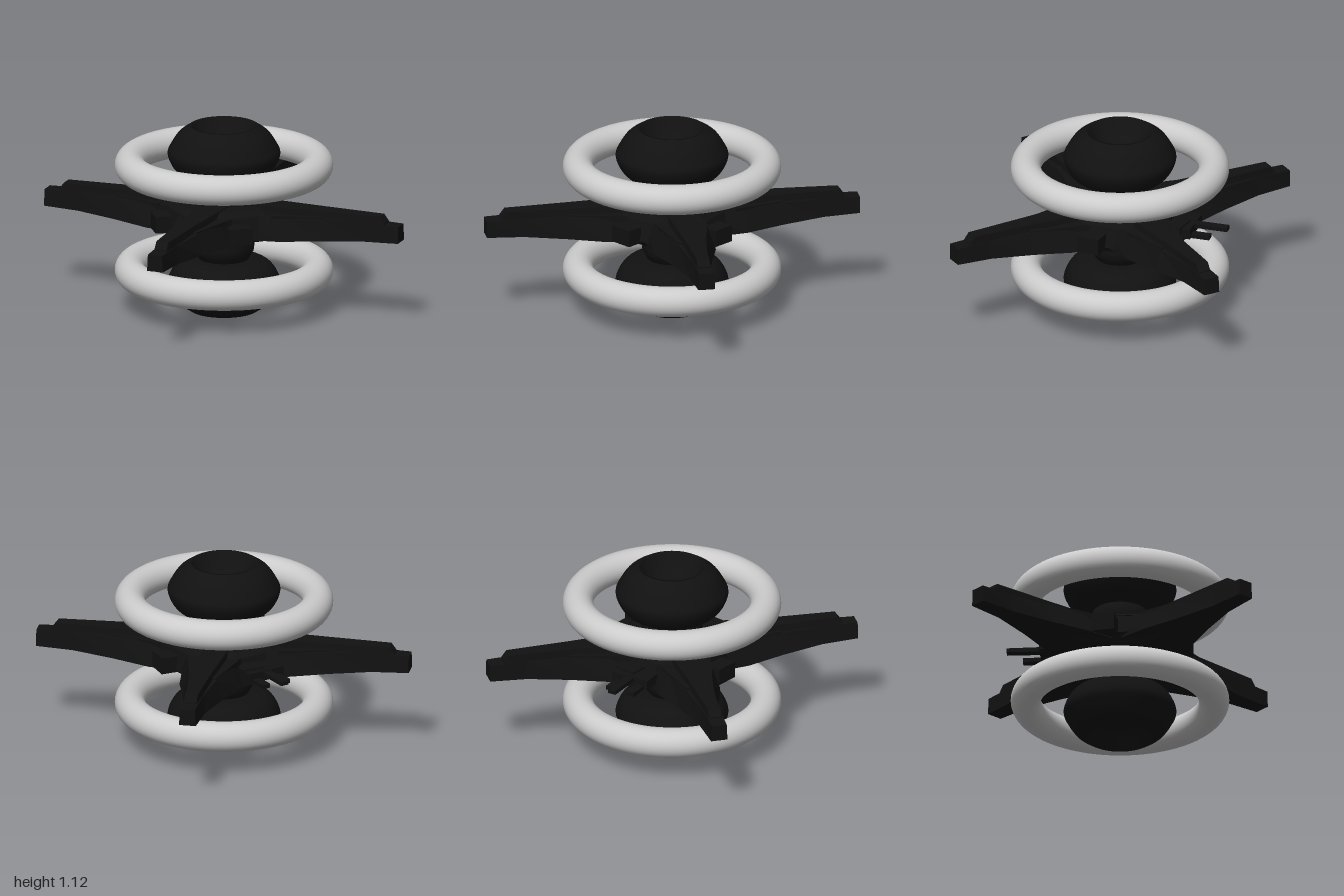
import * as THREE from 'three';

const grey = new THREE.MeshStandardMaterial({ color: 0xcccccc });
const dark = new THREE.MeshStandardMaterial({ color: 0x111111, side: THREE.DoubleSide });
const darkFlat = new THREE.MeshStandardMaterial({ color: 0x111111, flatShading: true });
const MID = 0.575;

function add(parent, name, geometry, material, x = 0, y = 0, z = 0) {
  const mesh = new THREE.Mesh(geometry, material);
  mesh.name = name;
  mesh.position.set(x, y, z);
  parent.add(mesh);
  return mesh;
}

const lathe = (pts) => new THREE.LatheGeometry(pts.map(([r, y]) => new THREE.Vector2(r, y)), 64);

// Trapezoid sections along +x: [x, half width below, half width above, bottom, top]
function loft(sections) {
  const pos = [];
  const rings = sections.map(([x, a, b, y0, y1]) => [[x, y0, a], [x, y0, -a], [x, y1, -b], [x, y1, b]]);
  const quad = (a, b, c, d) => pos.push(...a, ...b, ...c, ...a, ...c, ...d);
  for (let i = 0; i < rings.length - 1; i++) {
    for (let j = 0; j < 4; j++) {
      const k = (j + 1) % 4;
      quad(rings[i][j], rings[i][k], rings[i + 1][k], rings[i + 1][j]);
    }
  }
  const s = rings[0], e = rings[rings.length - 1];
  quad(s[3], s[2], s[1], s[0]);
  quad(e[0], e[1], e[2], e[3]);
  const g = new THREE.BufferGeometry();
  g.setAttribute('position', new THREE.Float32BufferAttribute(pos, 3));
  g.computeVertexNormals();
  return g;
}

// Upper half of the station: ring, domed pod with a dished top, and lamp
function createHalf(name) {
  const half = new THREE.Group();
  half.name = name;
  const ring = add(half, 'ring', new THREE.TorusGeometry(0.555, 0.09, 32, 96), grey, 0, 0.89 - MID, 0);
  ring.rotation.x = Math.PI / 2;
  const shell = new THREE.SplineCurve([[0.15, 0.815], [0.24, 0.83], [0.3, 0.88], [0.333, 0.96],
    [0.31, 1.02], [0.265, 1.085], [0.2, 1.13]].map(([r, y]) => new THREE.Vector2(r, y - MID)));
  add(half, 'pod', new THREE.LatheGeometry(shell.getPoints(24), 64), dark);
  add(half, 'podDish', lathe([[0.2, 1.13], [0.185, 1.13], [0.16, 1.07], [0.11, 1.02], [0.045, 1.0], [0, 1.0]]
    .map(([r, y]) => [r, y - MID])), dark);
  const lamp = add(half, 'lamp', new THREE.CircleGeometry(0.045, 32), grey, 0, 1.004 - MID, 0);
  lamp.rotation.x = -Math.PI / 2;
  return half;
}

// Tapered arm with a raised spine, a keel and side ribs
function createArm() {
  const arm = new THREE.Group();
  arm.name = 'arm';
  add(arm, 'armBody', loft([
    [0.1, 0.22, 0.2, 0.5, 0.65], [0.42, 0.185, 0.13, 0.505, 0.645], [0.65, 0.118, 0.085, 0.515, 0.64],
    [0.9, 0.062, 0.05, 0.525, 0.635], [1.12, 0.05, 0.045, 0.53, 0.63],
  ]), darkFlat);
  add(arm, 'armSpine', loft([
    [0.1, 0.1, 0.09, 0.62, 0.682], [0.6, 0.062, 0.055, 0.62, 0.682], [1.0, 0.042, 0.038, 0.62, 0.68],
    [1.03, 0.042, 0.038, 0.62, 0.64],
  ]), darkFlat);
  add(arm, 'armKeel', loft([
    [0.1, 0.11, 0.15, 0.485, 0.53], [0.43, 0.07, 0.11, 0.49, 0.53], [0.46, 0.06, 0.1, 0.515, 0.53],
  ]), darkFlat);
  for (const side of [-1, 1]) {
    const rib = add(arm, 'armRib', new THREE.BoxGeometry(0.3, 0.05, 0.03), darkFlat, 0.5, 0.625, side * 0.1);
    rib.rotation.y = side * 0.24;
  }
  return arm;
}

// Landing pier with slender prongs
function createPier() {
  const pier = new THREE.Group();
  pier.name = 'pier';
  add(pier, 'pierDeck', new THREE.BoxGeometry(0.2, 0.06, 0.24), darkFlat, 0.37, 0.57, 0);
  for (const [z, len, y] of [[-0.07, 0.14, 0.55], [0, 0.23, 0.585], [0.07, 0.14, 0.55]]) {
    add(pier, 'pierProng', new THREE.BoxGeometry(len, 0.025, 0.05), darkFlat, 0.44 + len / 2, y, z);
  }
  return pier;
}

export function createModel() {
  const model = new THREE.Group();
  model.name = 'station';

  const upper = createHalf('upperHalf');
  const lower = createHalf('lowerHalf');
  lower.rotation.x = Math.PI;
  upper.position.y = MID - 0.003;
  lower.position.y = 0.57 - 0.013;
  model.add(upper, lower);

  // Central shaft with rounded ends
  add(model, 'shaft', lathe([[0.14, 0.31], [0.16, 0.34], [0.175, 0.365], [0.18, 0.4],
    [0.18, 0.74], [0.175, 0.775], [0.16, 0.81], [0.14, 0.83]]), dark);

  // Hub decks
  for (const [r0, r1, h, y] of [[0.34, 0.38, 0.12, 0.585], [0.3, 0.35, 0.03, 0.66], [0.36, 0.32, 0.05, 0.505]]) {
    const deck = add(model, 'hubDeck', new THREE.CylinderGeometry(r0, r1, h, 8), darkFlat, 0, y, 0);
    deck.rotation.y = THREE.MathUtils.degToRad(-38);
  }

  // Four arms, with a small hub block beside each
  for (let i = 0; i < 4; i++) {
    const arm = createArm();
    arm.rotation.y = THREE.MathUtils.degToRad(30 + 90 * i);
    model.add(arm);
    const a = THREE.MathUtils.degToRad(36 + 90 * i);
    const block = add(model, 'hubBlock', new THREE.BoxGeometry(0.1, 0.1, 0.14), darkFlat,
      0.38 * Math.cos(a + 0.5), 0.56, -0.38 * Math.sin(a + 0.5));
    block.rotation.y = a + 0.5;
  }

  const pier = createPier();
  pier.rotation.y = THREE.MathUtils.degToRad(163.5);
  model.add(pier);
  return model;
}
